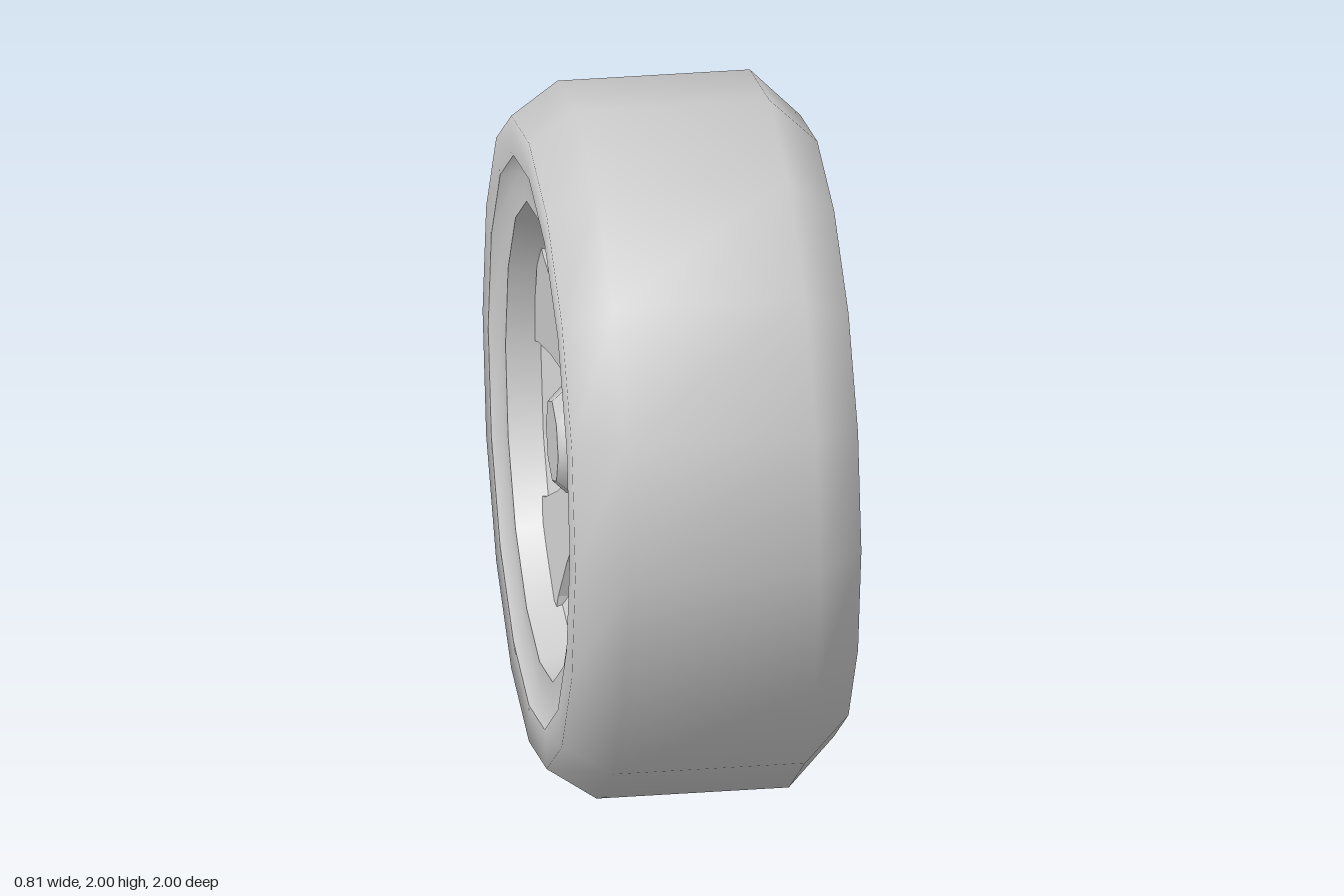
import * as THREE from 'three';

const material = new THREE.MeshStandardMaterial({ color: 0xcccccc });
const flatMaterial = new THREE.MeshStandardMaterial({ color: 0xcccccc, flatShading: true });

// Turned part from [radius, height] points, axis along y
function turned(name, points, sides, mat = material) {
  const profile = points.map(([r, h]) => new THREE.Vector2(r, h));
  const mesh = new THREE.Mesh(new THREE.LatheGeometry(profile, sides), mat);
  mesh.name = name;
  return mesh;
}

// Spoke that flares and rises towards the rim
function spokeGeometry() {
  const edge = [[0.1, 0.065], [0.3, 0.075], [0.48, 0.115], [0.59, 0.16], [0.635, 0.195]];
  const outline = [
    ...edge.map(([r, w]) => new THREE.Vector2(r, -w)),
    ...edge.map(([r, w]) => new THREE.Vector2(r, w)).reverse(),
  ];
  const geometry = new THREE.ExtrudeGeometry(new THREE.Shape(outline), { depth: 1, bevelEnabled: false });
  geometry.rotateX(-Math.PI / 2);
  const p = geometry.attributes.position;
  for (let i = 0; i < p.count; i++) {
    const t = (p.getX(i) - 0.1) / 0.535;
    const front = 0.2 + 0.1 * t;
    const back = 0.1 + 0.12 * t;
    p.setY(i, p.getY(i) > 0.5 ? front : back);
  }
  geometry.computeVertexNormals();
  return geometry;
}

export function createModel() {
  const model = new THREE.Group();
  model.name = 'wheel';
  const wheel = new THREE.Group();
  wheel.name = 'wheelAssembly';

  // Tyre with bevelled shoulders and closed inner side
  wheel.add(
    turned('tyre', [[0.865, -0.405], [1, -0.27], [1, 0.27], [0.91, 0.405], [0.8, 0.405]], 16),
    turned('innerCover', [[0, -0.405], [0.865, -0.405]], 16),
  );

  // Rim lip, barrel and dished back wall
  wheel.add(
    turned('rimLip', [[0.8, 0.405], [0.76, 0.375], [0.67, 0.375]], 16),
    turned('rimBarrel', [[0.67, 0.375], [0.64, 0.28]], 16),
    turned('rimDish', [[0.64, 0.28], [0.42, 0.12], [0, 0.12]], 16, flatMaterial),
  );

  // Hub
  wheel.add(
    turned('hub', [[0.16, 0.12], [0.16, 0.3], [0.12, 0.34]], 8),
    turned('hubCap', [[0.12, 0.34], [0, 0.34]], 8),
  );

  // Five spokes, one pointing straight up
  const spokeShape = spokeGeometry();
  for (let i = 0; i < 5; i++) {
    const spoke = new THREE.Mesh(spokeShape, flatMaterial);
    spoke.name = 'spoke' + (i + 1);
    spoke.rotation.y = (i * Math.PI * 2) / 5;
    wheel.add(spoke);
  }

  // Lay the axle along x, spoked side towards -x
  wheel.rotation.z = Math.PI / 2;
  wheel.position.y = 1;
  model.add(wheel);
  return model;
}
